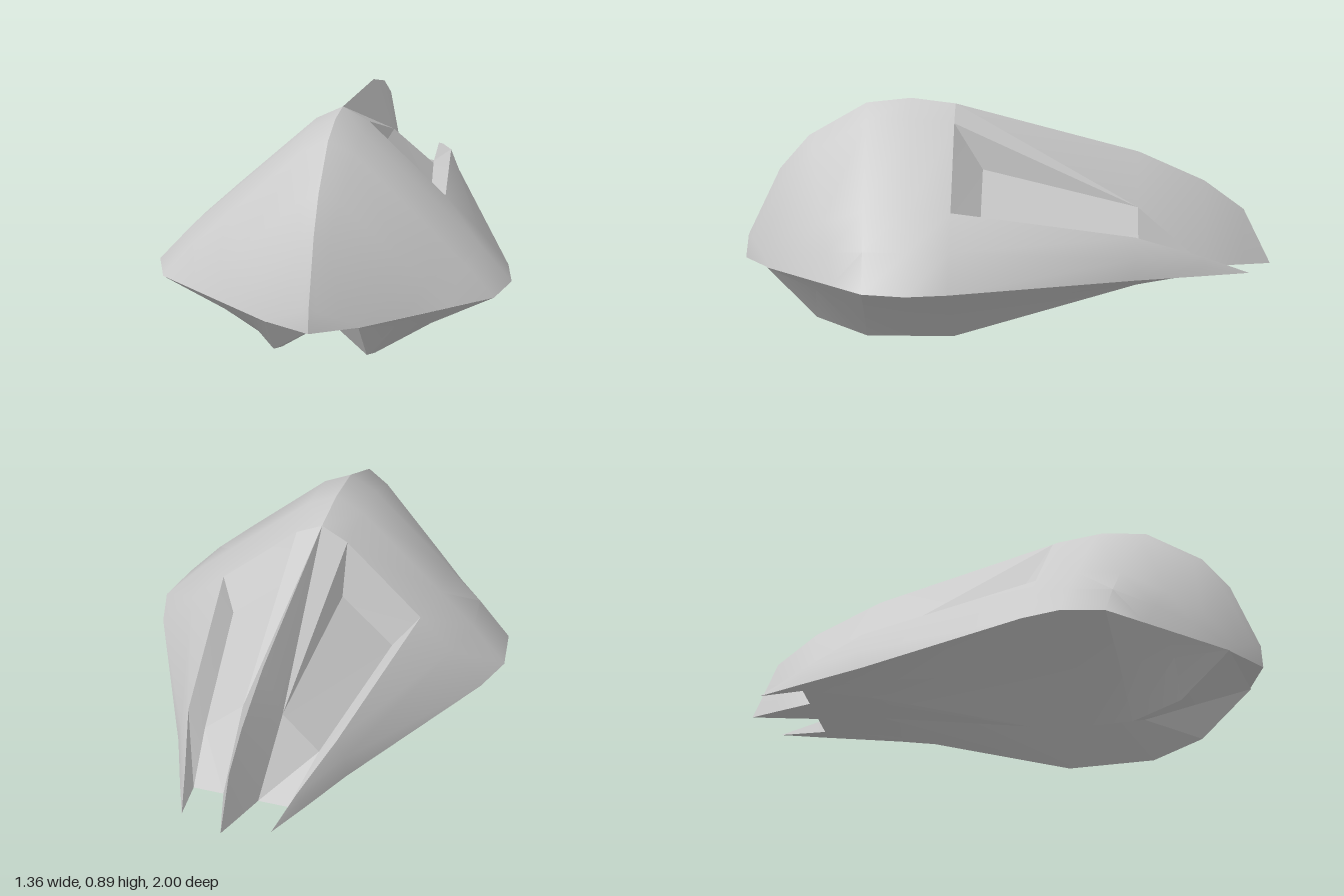
import * as THREE from 'three';
import { toCreasedNormals } from 'three/addons/utils/BufferGeometryUtils.js';

const grey = new THREE.MeshStandardMaterial({ color: 0xcccccc, side: THREE.DoubleSide });

// Section helper: [x, y] pairs placed at one z
const at = (z, ...pts) => pts.map(([x, y]) => [x, y, z]);

// Skin rows of points (front to back, centre line outward) into triangles
function skin(rows, down = false) {
  const tris = [];
  for (let i = 0; i + 1 < rows.length; i++) {
    for (let j = 0; j + 1 < rows[i].length; j++) {
      const a = rows[i][j], b = rows[i][j + 1], c = rows[i + 1][j + 1], d = rows[i + 1][j];
      for (const [p, q, r] of [[a, b, d], [b, c, d]]) tris.push(down ? [p, r, q] : [p, q, r]);
    }
  }
  return tris;
}

// Mesh from one half's triangles plus its mirror image
function mirrored(name, tris, crease = 0.6) {
  const pos = [];
  const v = (p) => new THREE.Vector3(...p);
  for (const [a, b, c] of tris) {
    if (new THREE.Triangle(v(a), v(b), v(c)).getArea() < 1e-6) continue;
    pos.push(...a, ...b, ...c);
    for (const p of [a, c, b]) pos.push(-p[0], p[1], p[2]);
  }
  const geo = new THREE.BufferGeometry();
  geo.setAttribute('position', new THREE.Float32BufferAttribute(pos, 3));
  const mesh = new THREE.Mesh(toCreasedNormals(geo, crease), grey);
  mesh.name = name;
  return mesh;
}

export function createModel() {
  const group = new THREE.Group();
  group.name = 'hull';
  const base = 0.26;

  // Domed front shell: ridge point [y, z] and waterline point [x, z] of each section
  const profile = [[0, 1], [0.16, 0.91], [0.62, 0.44], [0.82, 0.23], [1, 0]];
  const sections = [
    [base, 1, 0, 1], [0.35, 0.99, 0.19, 0.9], [0.61, 0.87, 0.34, 0.777], [0.74, 0.76, 0.49, 0.653],
    [0.87, 0.54, 0.64, 0.53], [0.89, 0.37, 0.68, 0.36], [0.87, 0.2, 0.64, 0.2],
  ];
  const shell = sections.map(([y, zr, x, zo]) =>
    profile.map(([t, s]) => [x * t, base + (y - base) * s, zr + (zo - zr) * t]));
  const [ridge, inner, outer, side, edge] = shell[shell.length - 1];

  // Rear flanks taper from the shell into two side prongs
  const tip = [0.18, base, -0.93];
  const rim = [outer, [0.3, 0.42, -0.5], [0.225, 0.33, -0.76], tip];
  const flank = [
    [rim[0], side, edge],
    [rim[1], [0.33, 0.34, -0.5], [0.34, base, -0.5]],
    [rim[2], [0.238, 0.295, -0.76], [0.245, base, -0.76]],
    [tip, tip, tip],
  ];
  group.add(mirrored('upperShell', [...skin(shell), ...skin(flank)]));

  // Recess floor, its front wall and its outer wall
  const floor = [
    [[0.12, 0.64, 0.09], [0.32, 0.455, 0.09]],
    [[0.08, 0.49, -0.5], [0.23, 0.355, -0.51]],
    [[0.07, base, -0.76], [0.19, base, -0.76]],
  ];
  const outerWall = rim.map((p, i) => [i < 3 ? floor[i][1] : tip, p]);
  group.add(mirrored('rearRecess', [
    ...skin([[inner, outer], floor[0]]), ...skin(floor), ...skin(outerWall),
    [inner, floor[0][0], floor[1][0]],
  ], 0.3));

  // Central fin between the recesses
  const end = [0, base, -1];
  const fin = [
    [[0, 0.69, -0.5], floor[1][0]],
    [[0, 0.58, -0.75], floor[2][0]],
    [[0, 0.47, -0.9], [0.03, base, -0.9]],
    [end, end],
  ];
  group.add(mirrored('centreFin', [
    [ridge, inner, floor[1][0]], [ridge, floor[1][0], fin[0][0]], ...skin(fin),
  ], 0.4));

  // Flat undersides of the nose, fin and prongs
  group.add(mirrored('flatUndersides', [
    ...skin([at(1, [0, base], [0, base]), [[0, base, 0.91], [0.19, base, 0.9]]], true),
    ...skin([at(-0.76, [0, base], [0.07, base]), at(-0.9, [0, base], [0.03, base]), [end, end]], true),
    ...skin([at(-0.76, [0.19, base], [0.245, base]), [tip, tip]], true),
  ]));

  // Twin keels with a centre channel and outer grooves
  const belly = (z, width) => at(z, [0, 0.1], [0.025, 0.1], [0.18, 0], [0.4, 0.14], [width, base]);
  const keels = [
    [[0, base, 0.91], [0.18, base, 0.91], [0.18, base, 0.91], [0.18, base, 0.91], [0.19, base, 0.9]],
    at(0.72, [0, 0.18], [0.1, 0.18], [0.18, 0.07], [0.29, 0.2], [0.41, base]),
    belly(0.53, 0.64), belly(0.36, 0.68), belly(0.2, 0.64),
    at(-0.5, [0, 0.235], [0.07, 0.235], [0.18, 0.21], [0.26, 0.24], [0.34, base]),
    at(-0.76, [0, base], [0.07, base], [0.19, base], [0.22, base], [0.245, base]),
  ];
  group.add(mirrored('keels', skin(keels, true), 0.4));
  return group;
}
